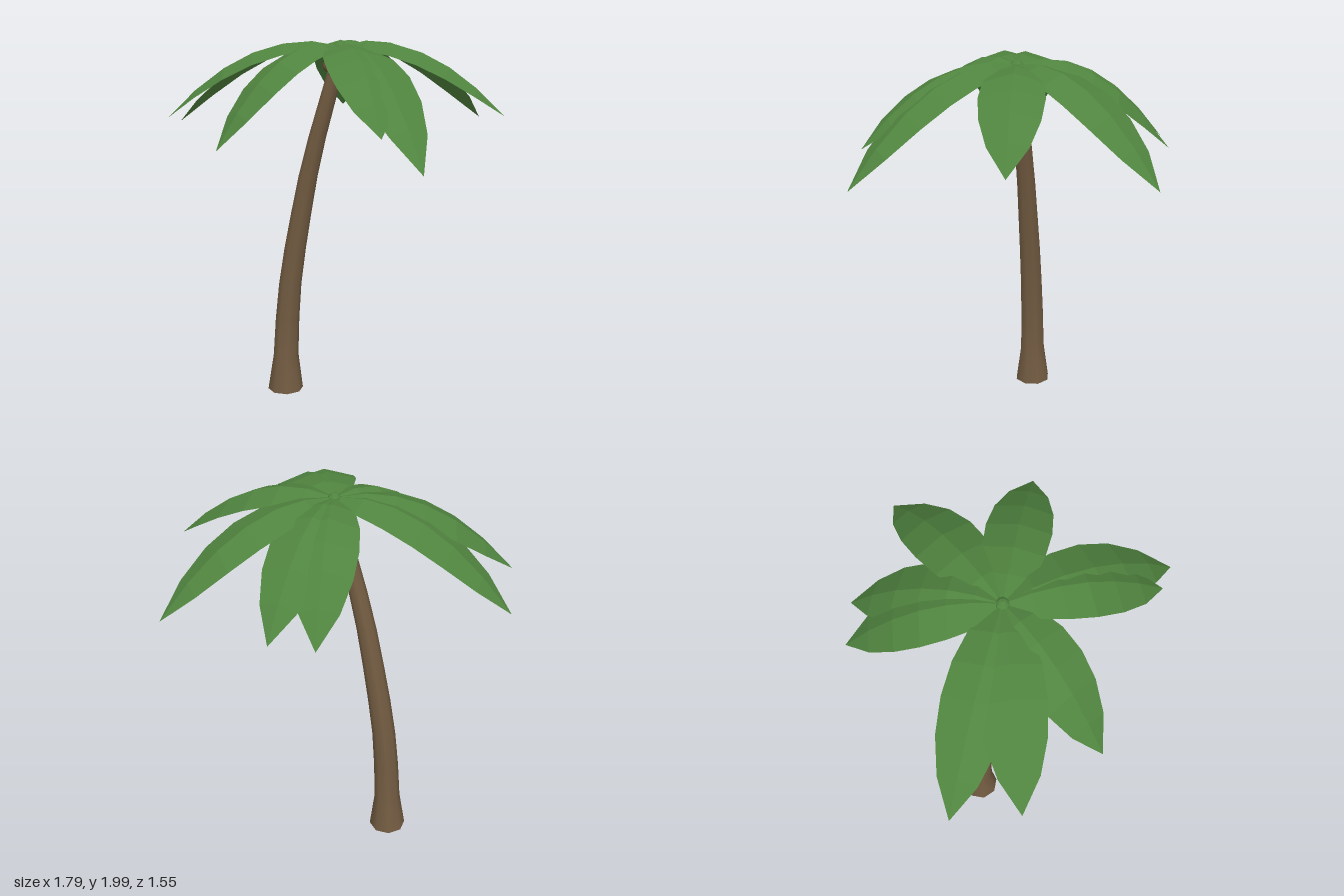
import * as THREE from 'three';

const SIDES = 8;

// Indexed triangles from a flat list of points
function makeGeometry(points, index) {
  const geo = new THREE.BufferGeometry();
  geo.setAttribute('position', new THREE.Float32BufferAttribute(points, 3));
  geo.setIndex(index);
  geo.computeVertexNormals();
  return geo;
}

// Leaning trunk: rings of [x, y, z, radius], flared at the foot
function trunkGeometry(rings) {
  const points = [], index = [];
  rings.forEach(([x, y, z, r], i) => {
    for (let j = 0; j < SIDES; j++) {
      const a = ((j + 0.5) / SIDES) * Math.PI * 2;
      points.push(x + Math.cos(a) * r, y, z + Math.sin(a) * r);
      if (i === 0) continue;
      const k = (j + 1) % SIDES, lo = (i - 1) * SIDES, hi = i * SIDES;
      index.push(lo + j, hi + j, hi + k, lo + j, hi + k, lo + k);
    }
  });
  return makeGeometry(points, index);
}

// Arching leaf with a raised midrib, from the crown to the given tip
function frondGeometry(crown, tip) {
  const halfWidths = [0.03, 0.115, 0.15, 0.16, 0.145, 0.098, 0];
  const dx = tip[0] - crown[0], dz = tip[2] - crown[2];
  const length = Math.hypot(dx, dz);
  const rise = 0.24, fall = crown[1] + rise - tip[1];
  const points = [], index = [];
  halfWidths.forEach((w, i) => {
    const s = i / (halfWidths.length - 1);
    const y = crown[1] + rise * s - fall * s * s;
    for (const side of [-1, 0, 1]) {
      points.push(
        crown[0] + dx * s - (dz / length) * w * side,
        y - Math.abs(side) * w * 0.3,
        crown[2] + dz * s + (dx / length) * w * side
      );
    }
    if (i === 0) return;
    for (let c = 0; c < 2; c++) {
      const a = (i - 1) * 3 + c, b = i * 3 + c;
      index.push(a, a + 1, b + 1);
      if (i < halfWidths.length - 1 || c === 0) index.push(a, b + 1, b);
      else index.push(a, b + 1, b);
    }
  });
  return makeGeometry(points, index);
}

export function createModel() {
  const palm = new THREE.Group();
  palm.name = 'palmTree';

  const bark = new THREE.MeshStandardMaterial({ color: 0x735c42 });
  bark.name = 'bark';
  const leaf = new THREE.MeshStandardMaterial({ color: 0x50843f, flatShading: true, side: THREE.DoubleSide });
  leaf.name = 'leafGreen';
  const shell = new THREE.MeshStandardMaterial({ color: 0x6e4f39 });
  shell.name = 'coconutBrown';

  const add = (name, geometry, material, x = 0, y = 0, z = 0) => {
    const mesh = new THREE.Mesh(geometry, material);
    mesh.name = name;
    mesh.position.set(x, y, z);
    palm.add(mesh);
    return mesh;
  };

  // Trunk and its flat foot
  const rings = [
    [-0.305, 0, -0.07, 0.1], [-0.3, 0.21, -0.07, 0.071], [-0.288, 0.43, -0.068, 0.067],
    [-0.268, 0.64, -0.063, 0.063], [-0.235, 0.85, -0.056, 0.06], [-0.195, 1.06, -0.047, 0.056],
    [-0.152, 1.27, -0.038, 0.052], [-0.098, 1.48, -0.026, 0.048], [-0.033, 1.7, -0.013, 0.044],
    [0.036, 1.93, 0, 0.04],
  ];
  add('trunk', trunkGeometry(rings), bark);
  const foot = add('trunkFoot', new THREE.CircleGeometry(0.1, SIDES, Math.PI / SIDES), bark, -0.305, 0, -0.07);
  foot.rotation.x = Math.PI / 2;

  // Green bud where the leaves meet
  const bud = add('crownBud', new THREE.SphereGeometry(0.038, 8, 6), leaf, 0.036, 1.957, 0);
  bud.scale.y = 0.95;

  // Coconuts around the trunk top
  for (let i = 0; i < 5; i++) {
    const a = Math.PI / 2 + 0.35 + (i / 5) * Math.PI * 2;
    add('coconut', new THREE.SphereGeometry(0.032, 8, 6), shell,
      0.038 + Math.cos(a) * 0.066, 1.85 + (i % 2) * 0.015, Math.sin(a) * 0.066);
  }

  // Leaves, by tip position
  const tips = [
    [0.89, 1.64, 0], [0.68, 1.525, -0.695], [0.085, 1.56, -0.777],
    [-0.14, 1.56, -0.75], [-0.9, 1.53, -0.077], [-0.83, 1.6, 0.255],
    [-0.44, 1.5, 0.578], [0.418, 1.625, 0.735], [0.62, 1.475, 0.77],
  ];
  for (const tip of tips) add('frond', frondGeometry([0.036, 1.97, 0], tip), leaf);

  return palm;
}
